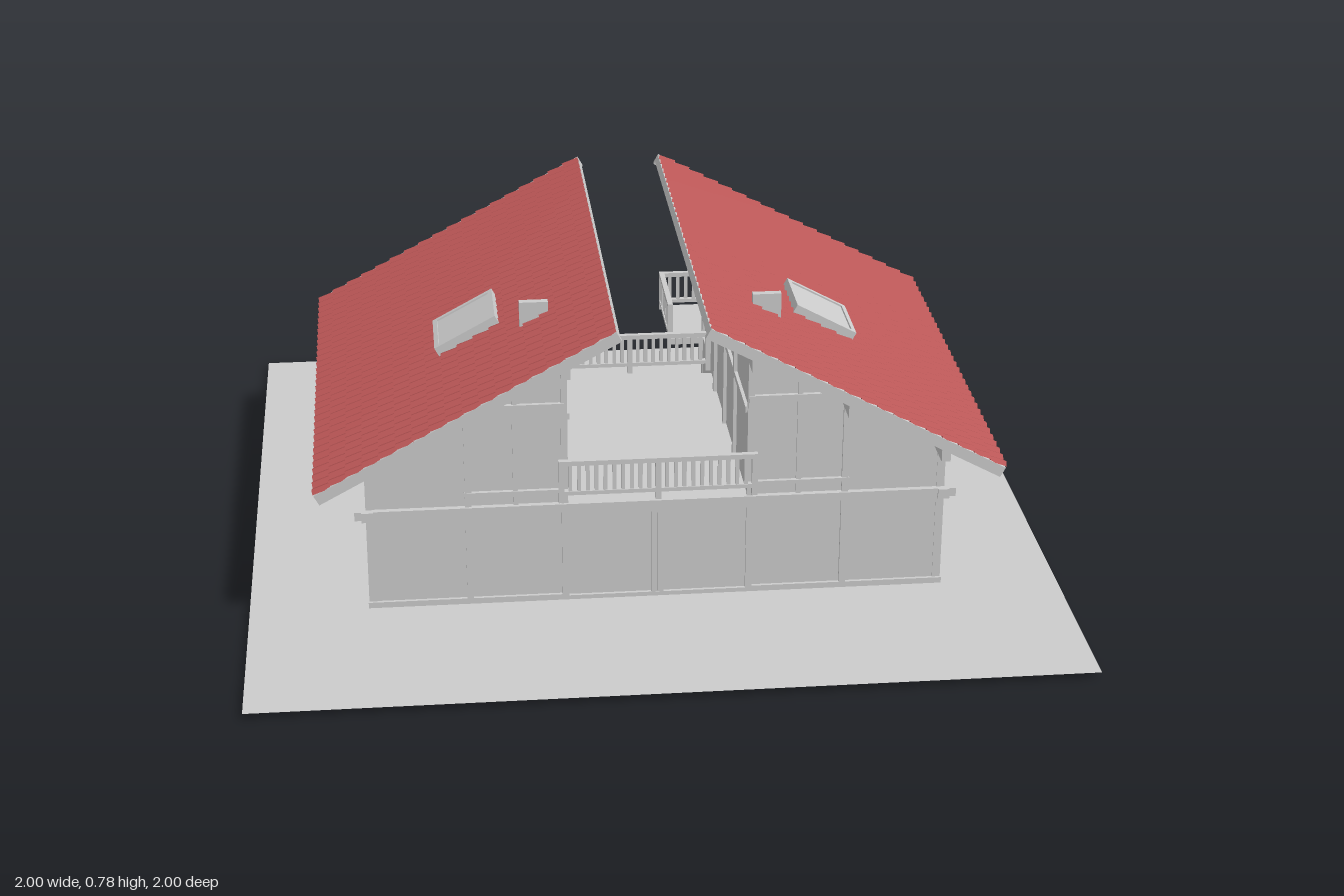
import * as THREE from 'three';

const grey = new THREE.MeshStandardMaterial({ color: 0xcccccc, flatShading: true });
const greyTwoSided = new THREE.MeshStandardMaterial({ color: 0xcccccc, side: THREE.DoubleSide });
const red = new THREE.MeshStandardMaterial({ color: 0xb85555, flatShading: true, side: THREE.DoubleSide });

const GROUND = 0.015, FLOOR = 0.28;
const RIDGE_X = 0.115, EAVE_X = 0.83, RIDGE_Y = 0.79, EAVE_Y = 0.4;
const SLOPE = (RIDGE_Y - EAVE_Y) / (EAVE_X - RIDGE_X);
const ANGLE = Math.atan(SLOPE);
const ROOF_LENGTH = (EAVE_X - RIDGE_X) / Math.cos(ANGLE);
const ROOF_BACK = -0.57, ROOF_FRONT = 0.66;
const BACK = -0.42, FRONT = 0.52, LOGGIA = -0.29, COURT = -0.2;
const underRoof = x => RIDGE_Y - SLOPE * (x - RIDGE_X) - 0.041;

// Axis-aligned box given by its limits
function box(parent, name, x0, x1, y0, y1, z0, z1) {
  const g = new THREE.BoxGeometry(Math.abs(x1 - x0), Math.abs(y1 - y0), Math.abs(z1 - z0));
  const m = new THREE.Mesh(g, grey);
  m.position.set((x0 + x1) / 2, (y0 + y1) / 2, (z0 + z1) / 2);
  m.name = name;
  parent.add(m);
  return m;
}

// Square post centred on x, z
function post(parent, name, x, z, y0, y1, w = 0.02) {
  box(parent, name, x - w / 2, x + w / 2, y0, y1, z - w / 2, z + w / 2);
}

// Straight railing along x or z with rails, end posts and balusters
function railing(parent, name, x0, z0, x1, z1, y0 = 0.3, y1 = 0.4) {
  const g = new THREE.Group();
  g.name = name;
  const t = 0.007;
  const ax = Math.min(x0, x1) - t, bx = Math.max(x0, x1) + t;
  const az = Math.min(z0, z1) - t, bz = Math.max(z0, z1) + t;
  box(g, 'topRail', ax, bx, y1 - 0.012, y1, az, bz);
  box(g, 'bottomRail', ax, bx, y0 + 0.01, y0 + 0.02, az, bz);
  const n = Math.round(Math.hypot(x1 - x0, z1 - z0) / 0.022);
  for (let i = 0; i <= n; i++) {
    const k = i / n, end = i === 0 || i === n;
    post(g, end ? 'railPost' : 'baluster', x0 + (x1 - x0) * k, z0 + (z1 - z0) * k,
      end ? y0 - 0.01 : y0 + 0.01, y1 - 0.003, end ? 0.014 : 0.009);
  }
  parent.add(g);
}

// Upper-storey wall block whose top follows the roof
function gableBlock(parent, name, s, x0, x1, z0, z1) {
  const shape = new THREE.Shape([
    [x0, FLOOR], [x1, FLOOR], [x1, underRoof(x1)], [x0, underRoof(x0)],
  ].map(([x, y]) => new THREE.Vector2(s * x, y)));
  const m = new THREE.Mesh(new THREE.ExtrudeGeometry(shape, { depth: z1 - z0, bevelEnabled: false }), grey);
  m.position.z = z0;
  m.name = name;
  parent.add(m);
}

// Tile sheet: stepped courses down the slope, rounded ribs across it
function tileSheet() {
  const courses = 18, columns = 33, perRib = 4, width = ROOF_FRONT - ROOF_BACK;
  const g = new THREE.PlaneGeometry(ROOF_LENGTH, width, courses * 2 - 1, columns * perRib);
  g.rotateX(-Math.PI / 2);
  const p = g.attributes.position, across = courses * 2;
  for (let i = 0; i < p.count; i++) {
    const c = i % across, rib = Math.floor(i / across) / perRib;
    const x = (Math.ceil(c / 2) / courses - 0.5) * ROOF_LENGTH;
    const lift = (c % 2) * 0.006 + 0.006 * (0.5 - 0.5 * Math.cos(rib * Math.PI * 2));
    p.setXYZ(i, x, -0.012 + lift, p.getZ(i));
  }
  return g;
}

// Roof half with tiles, boards, gutter and skylight, tilted as one
function roof(s) {
  const g = new THREE.Group();
  g.name = 'roof';
  const half = ROOF_LENGTH / 2, midZ = (ROOF_BACK + ROOF_FRONT) / 2;
  const tiles = new THREE.Mesh(tileSheet(), red);
  tiles.name = 'roofTiles';
  tiles.rotation.y = s > 0 ? 0 : Math.PI;
  tiles.position.z = midZ;
  g.add(tiles);
  box(g, 'roofDeck', -half, half, -0.03, -0.012, ROOF_BACK + 0.005, ROOF_FRONT - 0.005);
  for (const z of [ROOF_BACK, ROOF_FRONT - 0.015]) box(g, 'bargeBoard', -half, half, -0.037, -0.01, z, z + 0.015);
  box(g, 'eaveFascia', s * (half - 0.02), s * half, -0.036, -0.012, ROOF_BACK, ROOF_FRONT);
  // skylight: raised frame around a slightly sunken pane
  const u0 = -0.117, u1 = 0.054, z0 = 0.07, z1 = 0.25, f = 0.012;
  box(g, 'skylightPane', s * u0, s * u1, -0.02, 0.009, z0, z1);
  for (const u of [u0, u1 - f]) box(g, 'skylightFrame', s * u, s * (u + f), -0.02, 0.013, z0, z1);
  for (const z of [z0, z1 - f]) box(g, 'skylightFrame', s * u0, s * u1, -0.02, 0.013, z, z + f);
  g.rotation.z = -s * ANGLE;
  g.position.set(s * (RIDGE_X + EAVE_X) / 2, (RIDGE_Y + EAVE_Y) / 2, 0);
  return g;
}

// One side of the house; s = +1 or -1
function wing(s) {
  const g = new THREE.Group();
  g.name = s > 0 ? 'leftWing' : 'rightWing';
  box(g, 'lowerStorey', s * 0.22, s * 0.7, GROUND, FLOOR, BACK, FRONT);
  gableBlock(g, 'outerUpperWall', s, 0.46, 0.7, BACK, FRONT);
  gableBlock(g, 'innerUpperWall', s, 0.22, 0.46, LOGGIA, FRONT);
  g.add(roof(s));
  box(g, 'roofVent', s * 0.25, s * 0.32, 0.66, 0.735, 0.33, 0.348);

  // outer side framing
  for (const z of [FRONT - 0.008, 0.28, 0.05, -0.19, BACK + 0.008]) post(g, 'sidePost', s * 0.698, z, GROUND, underRoof(0.705));
  box(g, 'sideSill', s * 0.69, s * 0.71, GROUND, 0.03, BACK, FRONT);
  box(g, 'sideBeam', s * 0.69, s * 0.718, 0.255, FLOOR, BACK - 0.01, FRONT + 0.02);
  box(g, 'sideRail', s * 0.69, s * 0.708, 0.3, 0.312, BACK, FRONT);

  // front and back framing
  for (const z of [FRONT, BACK]) {
    for (const x of [0.46, 0.226]) post(g, 'gablePost', s * x, z, GROUND, FLOOR, 0.016);
    post(g, 'gablePost', s * 0.46, z, FLOOR, underRoof(0.47), 0.016);
    post(g, 'gablePost', s * 0.226, z, FLOOR, underRoof(0.24), 0.016);
    box(g, 'gableSill', s * 0.22, s * 0.71, GROUND, 0.03, z - 0.008, z + 0.008);
    box(g, 'tieBeam', s * 0.22, s * 0.47, 0.528, 0.546, z - 0.01, z + 0.01);
    box(g, 'floorBeam', s * 0.22, s * 0.735, 0.258, 0.28, z - 0.014, z + 0.014);
  }
  post(g, 'gablePost', s * 0.345, FRONT, FLOOR, underRoof(0.355), 0.012);
  box(g, 'frontLedge', s * 0.22, s * 0.47, 0.308, 0.318, FRONT, FRONT + 0.01);

  // inner wall framing above the terrace and facing the rear court
  for (const z of [0.3, 0.1, -0.1, LOGGIA + 0.008]) post(g, 'innerPost', s * 0.22, z, FLOOR, underRoof(0.232), 0.018);
  box(g, 'innerRail', s * 0.212, s * 0.225, 0.5, 0.515, LOGGIA, FRONT);

  // purlins carrying the overhanging roof
  for (const x of [0.226, 0.46, 0.69]) {
    const top = underRoof(x + 0.01);
    box(g, 'purlin', s * (x - 0.011), s * (x + 0.011), top - 0.04, top, ROOF_BACK + 0.05, ROOF_FRONT - 0.05);
  }

  // rear balcony
  const bx0 = 0.13, bx1 = 0.47, bz = -0.65;
  box(g, 'balconyDeck', s * bx0, s * bx1, 0.282, 0.3, bz, BACK + 0.01);
  box(g, 'loggiaFloor', s * 0.22, s * 0.46, FLOOR, 0.3, BACK, LOGGIA);
  railing(g, 'balconyRailing', s * bx0, bz, s * bx1, bz);
  for (const x of [bx0, bx1]) railing(g, 'balconySideRailing', s * x, bz, s * x, BACK);
  return g;
}

export function createModel() {
  const model = new THREE.Group();
  model.name = 'splitRoofHouse';

  const ground = new THREE.Mesh(new THREE.PlaneGeometry(2, 2), greyTwoSided);
  ground.name = 'ground';
  ground.rotation.x = -Math.PI / 2;
  ground.position.y = GROUND;
  model.add(ground);

  for (const s of [1, -1]) model.add(wing(s));

  // centre section with roof terrace between the wings
  box(model, 'centreSection', -0.22, 0.22, GROUND, FLOOR, COURT, FRONT);
  for (const z of [FRONT, COURT]) {
    box(model, 'centreSill', -0.225, 0.225, 0, 0.026, z - 0.008, z + 0.008);
    box(model, 'centreBeam', -0.225, 0.225, 0.25, FLOOR, z - 0.014, z + 0.014);
    for (const x of [-0.008, 0.008]) post(model, 'centrePost', x, z, GROUND, FLOOR, 0.014);
  }
  for (const [z, w] of [[0.54, 0.235], [-0.215, 0.21]]) {
    railing(model, 'terraceRailing', -w, z, 0, z);
    railing(model, 'terraceRailing', 0, z, w, z);
  }
  return model;
}
